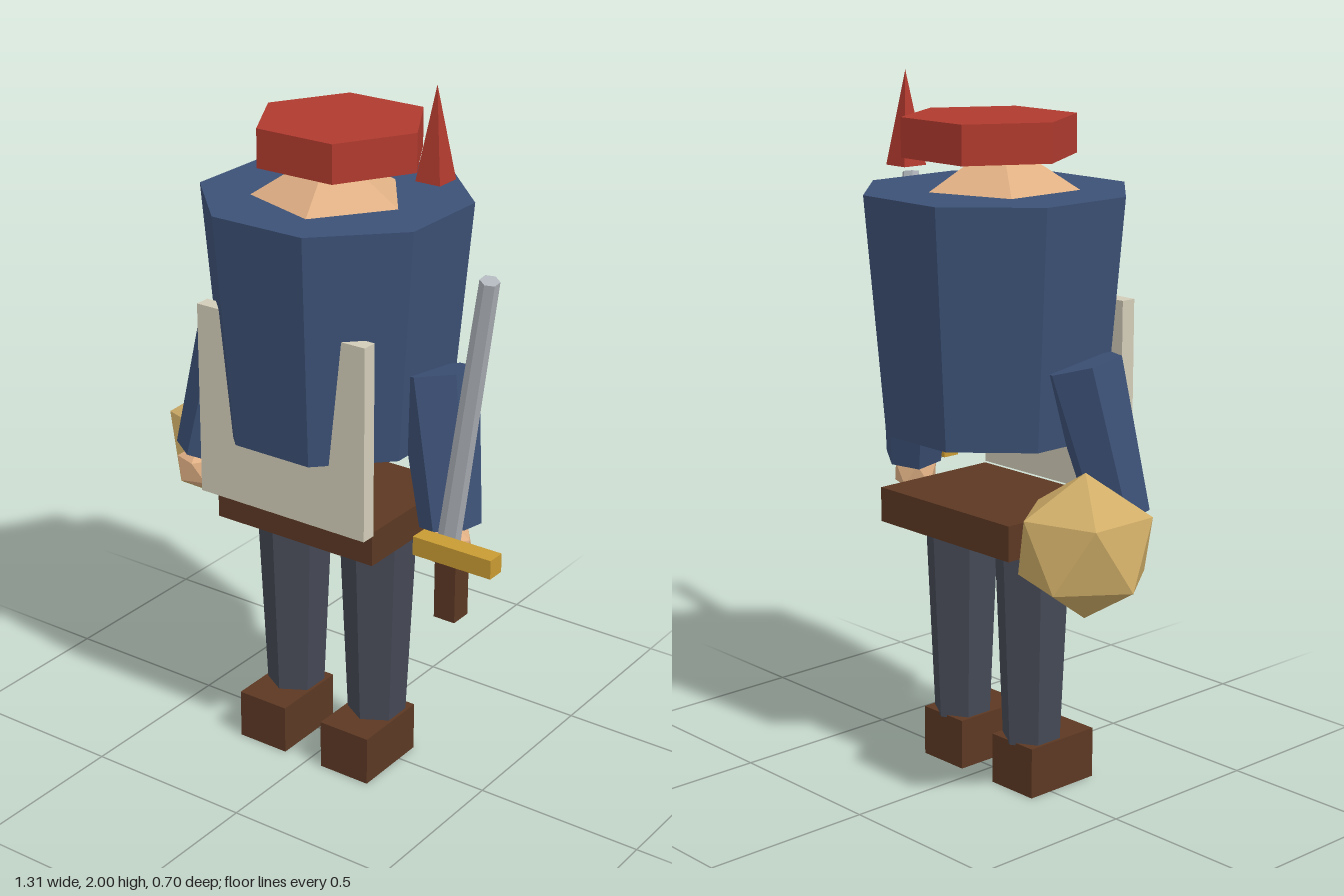
import * as THREE from 'three';

export function createModel() {
  const model = new THREE.Group();
  model.name = 'swordsman';

  const mat = (name, color) => {
    const m = new THREE.MeshStandardMaterial({ color, flatShading: true });
    m.name = name;
    return m;
  };
  const blue = mat('blue cloth', 0x3c5176);
  const red = mat('red felt', 0xb03a2e);
  const skin = mat('skin', 0xe0b084);
  const brown = mat('brown leather', 0x5c3823);
  const grey = mat('grey trousers', 0x454955);
  const cream = mat('cream apron', 0xd2ccb8);
  const straw = mat('straw sack', 0xd0ae68);
  const brass = mat('brass', 0xc89a32);
  const steel = mat('steel', 0xb0b5bc);

  const add = (name, geometry, material, x, y, z) => {
    const mesh = new THREE.Mesh(geometry, material);
    mesh.name = name;
    mesh.position.set(x, y, z);
    model.add(mesh);
    return mesh;
  };
  const box = (name, material, w, h, d, x, y, z) =>
    add(name, new THREE.BoxGeometry(w, h, d), material, x, y, z);

  // Icosahedron turned so one corner points straight up
  const ball = (name, material, r, x, y, z) =>
    add(name, new THREE.IcosahedronGeometry(r, 0).rotateZ(-Math.atan(2 / (1 + Math.sqrt(5)))),
      material, x, y, z);

  // Tapered six-sided rod between two points
  const rod = (name, material, from, to, rFrom, rTo) => {
    const a = new THREE.Vector3(...from), b = new THREE.Vector3(...to);
    const axis = b.clone().sub(a);
    const mid = a.clone().add(b).multiplyScalar(0.5);
    const mesh = add(name, new THREE.CylinderGeometry(rTo, rFrom, axis.length(), 6),
      material, mid.x, mid.y, mid.z);
    mesh.quaternion.setFromUnitVectors(new THREE.Vector3(0, 1, 0), axis.normalize());
    return mesh;
  };

  const cx = -0.015; // body centre line

  // Torso, belt and apron
  add('torso', new THREE.CylinderGeometry(0.378, 0.321, 0.665, 8).rotateY(Math.PI / 8),
    blue, cx, 1.357, 0);
  box('belt', brown, 0.53, 0.1, 0.4, cx, 0.78, 0);
  box('apron', cream, 0.555, 0.56, 0.045, cx, 1.11, 0.235);

  // Head, cap and feather
  ball('head', skin, 0.25, cx, 1.573, 0.02);
  add('cap', new THREE.CylinderGeometry(0.243, 0.243, 0.108, 6).rotateY(Math.PI / 6),
    red, cx, 1.836, -0.025);
  add('feather', new THREE.ConeGeometry(0.055, 0.26, 4).rotateY(Math.PI / 4),
    red, 0.23, 1.87, -0.112);

  // Limbs, mirrored about the centre line
  for (const [side, s] of [['left', 1], ['right', -1]]) {
    const x = (d) => cx + s * d;
    add(side + 'Leg', new THREE.CylinderGeometry(0.11, 0.084, 0.6, 6), grey, x(0.146), 0.44, 0);
    box(side + 'Boot', brown, 0.163, 0.147, 0.24, x(0.146), 0.0735, 0.045);
    rod(side + 'Arm', blue, [x(0.425), 0.845, 0.06], [x(0.335), 1.257, 0], 0.085, 0.113);
    ball(side + 'Hand', skin, 0.07, x(0.435), 0.795, 0.075);
  }

  // Sack carried at the right side
  ball('sack', straw, 0.2, -0.48, 0.803, -0.112);

  // Sword in the left hand
  rod('blade', steel, [0.437, 0.8, 0.115], [0.625, 1.65, 0.242], 0.032, 0.026);
  box('swordGuard', brass, 0.243, 0.054, 0.054, 0.52, 0.848, 0.198);
  box('swordGrip', brown, 0.066, 0.18, 0.066, 0.451, 0.695, 0.113);

  return model;
}
